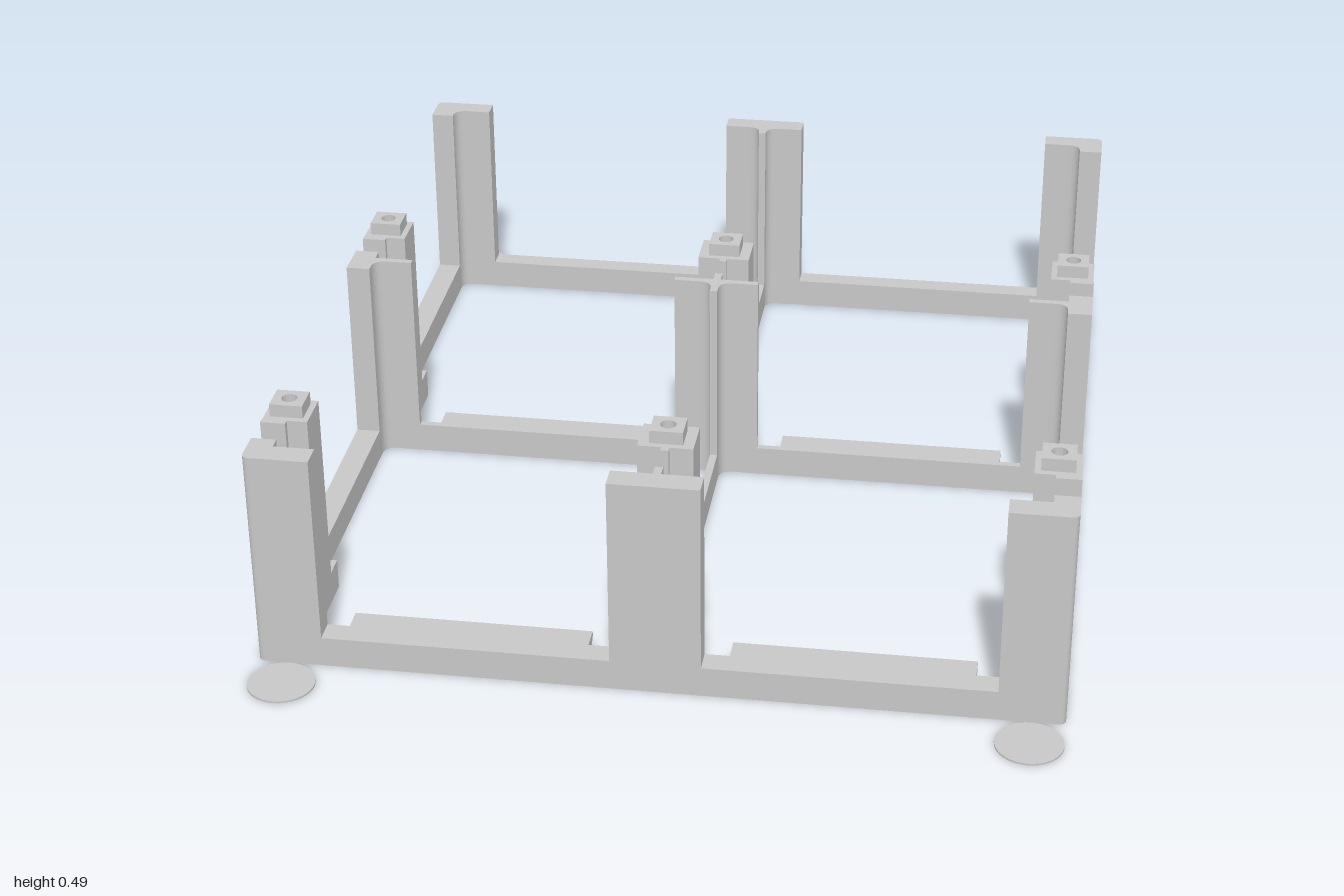
import * as THREE from 'three';

const RAIL_H = 0.064, POST_H = 0.465, CAP_H = 0.492;
const OUT = 0.797, IN = 0.747, RIB = 0.008;      // side rail outer / inner x, half width of centre rail
const FILLET = 0.028, CORNER = 0.016, HOLE = 0.016;

// Back, middle and front cross rails: rail z range and the reach of the post legs
const ROWS = [
  { name: 'back', za: -0.86, zb: -0.815, lb: -0.86, lf: -0.783 },
  { name: 'middle', za: -0.012, zb: 0.003, lb: -0.04, lf: 0.044 },
  { name: 'front', za: 0.81, zb: 0.86, lb: 0.784, lf: 0.86 },
];
// Centres of the connector columns
const PEG_Z = [-0.154, 0.667];
const PEG_X = 0.751;

// Trace [x, z, radius] corners onto a path, rounding where a radius is given
function trace(path, points) {
  const pts = points.filter((p, i) => {
    const q = points[(i + 1) % points.length];
    return Math.hypot(p[0] - q[0], p[1] - q[1]) > 1e-6;
  });
  pts.forEach(([x, z, r = 0], i) => {
    const c = new THREE.Vector2(x, -z);
    const toward = (q) => new THREE.Vector2(q[0], -q[1]).sub(c).setLength(r).add(c);
    const a = toward(pts[(i + pts.length - 1) % pts.length]);
    const b = toward(pts[(i + 1) % pts.length]);
    if (i === 0) path.moveTo(a.x, a.y);
    else path.lineTo(a.x, a.y);
    if (r) path.quadraticCurveTo(c.x, c.y, b.x, b.y);
  });
  path.closePath();
  return path;
}

function roundHole(x, z) {
  return new THREE.Path().absarc(x, -z, HOLE, 0, Math.PI * 2, true);
}

// Raise a plan outline from y0 to y1; outlines always run counter-clockwise so holes face inward
function raise(points, y0, y1, holes = []) {
  const clockwise = THREE.ShapeUtils.isClockWise(points.map(([x, z]) => new THREE.Vector2(x, -z)));
  const shape = trace(new THREE.Shape(), clockwise ? [...points].reverse() : points);
  shape.holes.push(...holes);
  const g = new THREE.ExtrudeGeometry(shape, { depth: y1 - y0, bevelEnabled: false, curveSegments: 8 });
  return g.rotateX(-Math.PI / 2).translate(0, y0, 0);
}

const rect = (x0, x1, z0, z1) => [[x0, z0], [x1, z0], [x1, z1], [x0, z1]];

export function createModel() {
  const model = new THREE.Group();
  const gray = new THREE.MeshStandardMaterial({ color: 0xc7c7c7 });
  gray.name = 'lightGray';
  const add = (name, geometry) => {
    const mesh = new THREE.Mesh(geometry, gray);
    mesh.name = name;
    model.add(mesh);
    return mesh;
  };

  // Base frame: four openings, notched around the pads of the connector columns
  const openings = [];
  for (const s of [-1, 1]) {
    PEG_Z.forEach((pz, i) => {
      const z0 = ROWS[i].zb, z1 = ROWS[i + 1].za, p0 = pz - 0.09, p1 = pz + 0.043;
      const cell = [
        [RIB, z0, FILLET], [IN, z0, FILLET],
        [IN, p0], [0.706, p0], [0.706, p1], [IN, p1],
        [IN, z1], [RIB, z1],
        [RIB, p1], [0.055, p1], [0.055, p0], [RIB, p0],
      ].map(([x, z, r]) => [s * x, z, r]);
      openings.push(trace(new THREE.Path(), cell));
    });
  }
  for (const pz of PEG_Z) for (const px of [-PEG_X, 0, PEG_X]) openings.push(roundHole(px, pz));
  const outline = rect(-OUT, OUT, -0.86, 0.86).map((p) => [...p, CORNER]);
  add('baseFrame', raise(outline, 0, RAIL_H, openings));

  // Upright posts along each cross rail
  for (const { name, za, zb, lb, lf } of ROWS) {
    const fillet = FILLET;
    for (const s of [-1, 1]) {
      const tip = 0.665;
      const pts = name === 'front'
        ? [[OUT, lb], [IN, lb], [IN, za], [tip, za], [tip, zb], [OUT, zb, CORNER]]
        : name === 'back'
          ? [[OUT, za, CORNER], [tip, za], [tip, zb], [IN, zb, fillet], [IN, lf], [OUT, lf]]
          : [[OUT, lb], [IN, lb], [IN, za], [tip, za], [tip, zb], [IN, zb, fillet], [IN, lf], [OUT, lf]];
      add(name + (s > 0 ? 'LeftPost' : 'RightPost'),
        raise(pts.map(([x, z, r]) => [s * x, z, r]), RAIL_H, POST_H));
    }
    const w = 0.09;
    const centre = [[-w, za]];
    if (lb < za) centre.push([-RIB, za], [-RIB, lb], [RIB, lb], [RIB, za]);
    centre.push([w, za], [w, zb]);
    if (lf > zb) centre.push([RIB, zb, fillet], [RIB, lf], [-RIB, lf], [-RIB, zb, fillet]);
    centre.push([-w, zb]);
    add(name + 'CentrePost', raise(centre, RAIL_H, POST_H));
  }

  // Connector columns with a rib in front and a drilled peg on top
  for (const pz of PEG_Z) {
    for (const s of [-1, 0, 1]) {
      const px = s * PEG_X, half = s ? 0.045 : 0.055;
      const z0 = pz - 0.043, z1 = pz + 0.043;
      add('connectorColumn', raise(rect(px - half, px + half, z0, z1), RAIL_H, POST_H, [roundHole(px, pz)]));
      add('connectorPeg', raise(rect(px - 0.033, px + 0.033, pz - 0.03, pz + 0.03), POST_H, CAP_H, [roundHole(px, pz)]));
      const [r0, r1] = s ? [s * IN, s * OUT] : [-RIB, RIB];
      add('connectorRib', raise(rect(r0, r1, z1, z1 + 0.012), RAIL_H, POST_H));
    }
  }

  // Ledges behind the middle and front rails, sloping underneath
  for (const { name, za } of ROWS.slice(1)) {
    for (const s of [-1, 1]) {
      const profile = new THREE.Shape();
      profile.moveTo(0, RAIL_H);
      profile.lineTo(0, 0.004);
      profile.lineTo(0.048, 0.053);
      profile.lineTo(0.048, RAIL_H);
      const g = new THREE.ExtrudeGeometry(profile, { depth: 0.48, bevelEnabled: false });
      g.rotateY(Math.PI / 2).translate(s * 0.38 - 0.24, 0, za);
      add(name + 'Ledge', g);
    }
  }

  // Thin round pads at the corners
  for (const x of [-0.73, 0.73]) {
    for (const z of [-0.933, 0.933]) {
      add('cornerPad', new THREE.CylinderGeometry(0.067, 0.067, 0.004, 40)).position.set(x, 0.002, z);
    }
  }
  return model;
}
